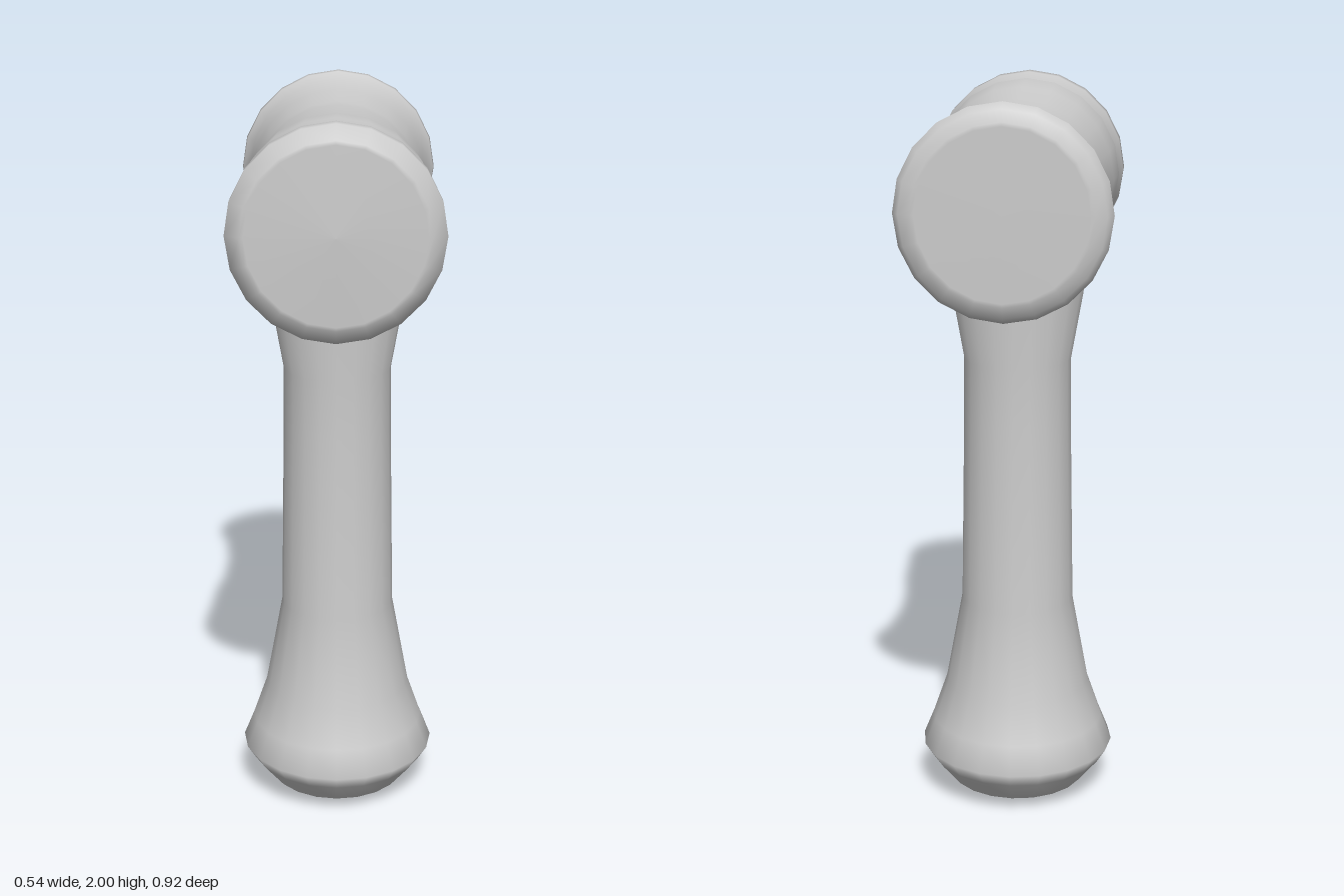
import * as THREE from 'three';

const SIDES = 20;

// Turned solid from [radius, height] pairs, listed bottom to top
function turned(name, profile) {
  const points = profile.map(([r, h]) => new THREE.Vector2(r, h));
  const material = new THREE.MeshStandardMaterial({ color: 0xcccccc });
  const mesh = new THREE.Mesh(new THREE.LatheGeometry(points, SIDES), material);
  mesh.name = name;
  return mesh;
}

export function createModel() {
  const model = new THREE.Group();
  model.name = 'mallet';

  // Handle: pointed flared pommel, slim grip, flared neck ending inside the head
  const handle = turned('handle', [
    [0, 0], [0.178, 0.032], [0.19, 0.038], [0.245, 0.105], [0.27, 0.145],
    [0.24, 0.22], [0.202, 0.33], [0.156, 0.58], [0.147, 1.1],
    [0.146, 1.27], [0.155, 1.45], [0.16, 1.64], [0, 1.65],
  ]);
  // The neck spreads sideways where it grips the head
  const pos = handle.geometry.attributes.position;
  for (let i = 0; i < pos.count; i++) {
    const t = THREE.MathUtils.clamp((pos.getY(i) - 1.27) / 0.37, 0, 1);
    pos.setX(i, pos.getX(i) * (1 + 0.26 * Math.pow(t, 0.8)));
  }
  handle.geometry.computeBoundingSphere();

  // Head: flat back face with a lip, narrow waist, barrel front with a thick rim
  const head = turned('head', [
    [0, -0.46], [0.215, -0.459], [0.225, -0.457], [0.255, -0.447], [0.271, -0.425],
    [0.268, -0.415], [0.248, -0.39], [0.236, -0.3], [0.223, -0.18], [0.224, -0.12],
    [0.229, 0.04], [0.25, 0.16], [0.26, 0.29], [0.251, 0.345],
    [0.269, 0.385], [0.27, 0.43], [0.233, 0.449], [0.223, 0.451], [0, 0.46],
  ]);
  head.geometry.rotateX(Math.PI / 2);
  head.position.y = 1.729;

  model.add(handle, head);
  return model;
}
